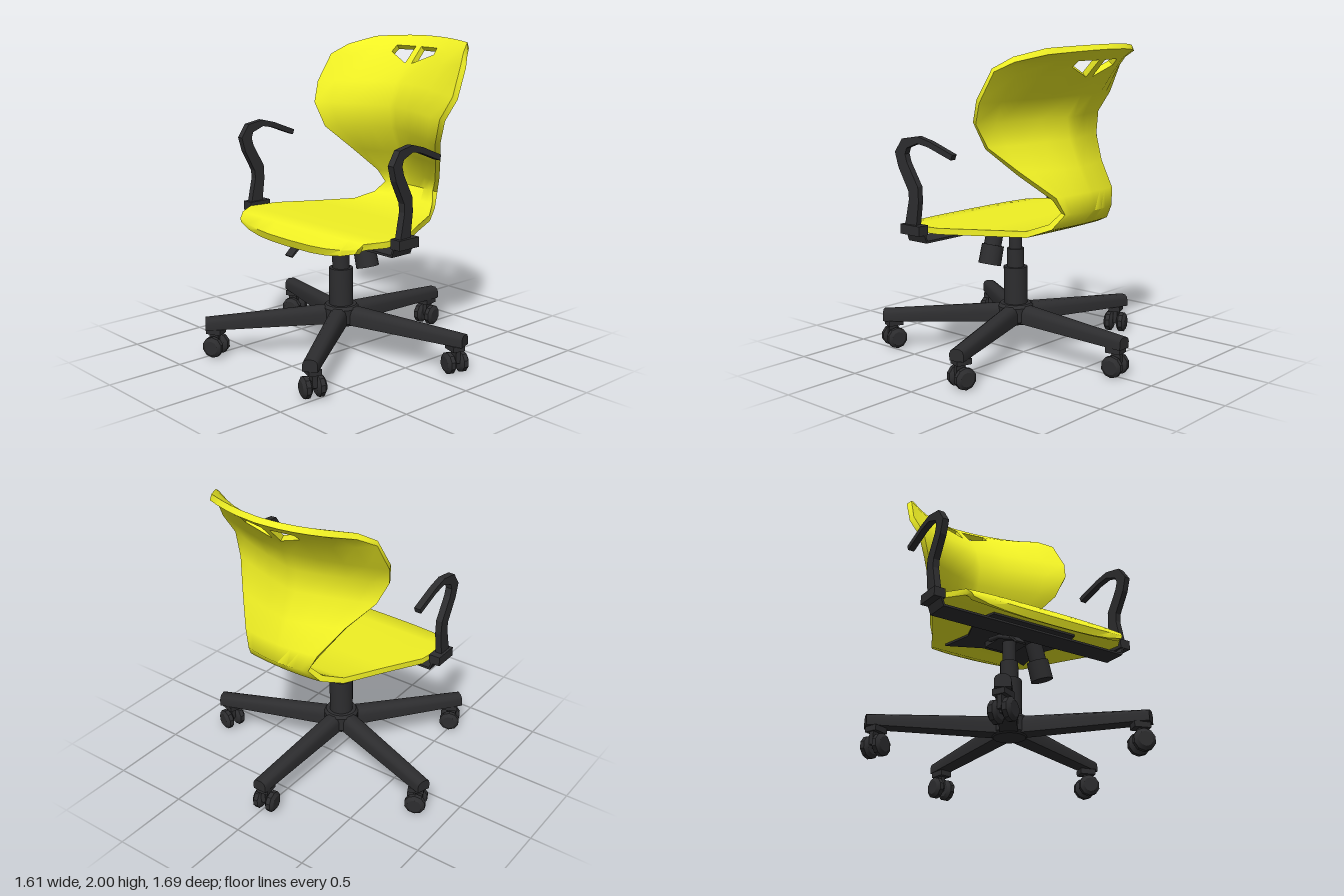
import * as THREE from 'three';
import { toCreasedNormals } from 'three/addons/utils/BufferGeometryUtils.js';

const yellow = new THREE.MeshStandardMaterial({ color: 0xf0f024, side: THREE.DoubleSide });
const dark = new THREE.MeshStandardMaterial({ color: 0x2d2d2f });
const CX = -0.077, CZ = -0.01; // axis of the column
const V3 = (x, y, z) => new THREE.Vector3(x, y, z);
const shapeOf = points => new THREE.Shape(points.map(p => new THREE.Vector2(...p)));
const extrude = (shape, depth) => new THREE.ExtrudeGeometry(shape, { depth, bevelEnabled: false });
const box = (w, h, d) => new THREE.BoxGeometry(w, h, d);

function add(parent, name, geo, x = 0, y = 0, z = 0, mat = dark) {
  const mesh = new THREE.Mesh(geo, mat);
  mesh.name = name;
  mesh.position.set(x, y, z);
  parent.add(mesh);
  return mesh;
}

// Turned part from [radius, height] pairs
function turned(profile, segments) {
  const geo = new THREE.LatheGeometry(profile.map(p => new THREE.Vector2(...p)), segments);
  return toCreasedNormals(geo, 0.6);
}

// Straight round bar between two points
function rod(parent, name, a, b, ra, rb, segments = 14) {
  const dir = b.clone().sub(a);
  const mesh = add(parent, name, new THREE.CylinderGeometry(rb, ra, dir.length(), segments));
  mesh.position.copy(a).add(b).multiplyScalar(0.5);
  mesh.quaternion.setFromUnitVectors(V3(0, 1, 0), dir.normalize());
}

// One-piece seat and back: each row is centre x, y, edge x, y, half width, bow exponent
const ROWS = [
  [-0.495, 0.782, -0.465, 0.83, 0.54, 3], [-0.51, 0.815, -0.46, 0.85, 0.55, 3],
  [-0.455, 0.876, -0.44, 0.872, 0.57, 3], [-0.33, 0.88, -0.33, 0.88, 0.64, 2],
  [-0.13, 0.88, -0.13, 0.88, 0.615, 2], [0.09, 0.88, 0.09, 0.88, 0.485, 2],
  [0.35, 0.882, 0.34, 0.882, 0.35, 2], [0.48, 0.93, 0.46, 0.93, 0.27, 2],
  [0.55, 1.01, 0.52, 1.01, 0.225, 2], [0.53, 1.11, 0.49, 1.10, 0.27, 1.8],
  [0.455, 1.25, 0.34, 1.25, 0.385, 1.5], [0.39, 1.42, 0.20, 1.40, 0.51, 1.25],
  [0.375, 1.56, 0.165, 1.55, 0.575, 1.2], [0.425, 1.70, 0.23, 1.68, 0.615, 1.4],
  [0.51, 1.815, 0.325, 1.86, 0.59, 1.8], [0.605, 1.918, 0.42, 1.92, 0.52, 1.9],
  [0.685, 1.985, 0.57, 1.965, 0.41, 1.9],
];
const COLS = [-1, -0.8, -0.58, -0.35, -0.05, 0.05, 0.35, 0.58, 0.8, 1];
const HOLE_ROW = 14, HOLE_COLS = [3, 5], HALF = 0.019;

function shellPoint(i, j) {
  const [cx, cy, ex, ey, w, bow] = ROWS[i], v = COLS[j], k = Math.abs(v) ** bow;
  const shift = 0.012 + k * (i > 9 ? 0.035 : 0.008);
  const p = V3(cx + (ex - cx) * k, cy + (ey - cy) * k, shift + v * w);
  // Taper the grip holes towards their outer ends
  if (i === HOLE_ROW && Math.abs(v) === 0.35) p.lerp(shellPoint(i + 1, j), 0.6);
  return p;
}

function shellGeometry() {
  const nr = ROWS.length - 1, nc = COLS.length - 1, pos = [];
  const at = (i, j) => shellPoint(Math.max(0, Math.min(nr, i)), Math.max(0, Math.min(nc, j)));
  const pt = (i, j, side) => {
    const du = at(i + 1, j).sub(at(i - 1, j)), dv = at(i, j + 1).sub(at(i, j - 1));
    return at(i, j).addScaledVector(dv.cross(du).normalize(), side * HALF);
  };
  const quad = (a, b, c, d) => [a, b, c, a, c, d].forEach(p => pos.push(p.x, p.y, p.z));
  const solid = (i, j) => i >= 0 && j >= 0 && i < nr && j < nc &&
    !(i === HOLE_ROW && HOLE_COLS.includes(j));
  for (let i = 0; i < nr; i++) for (let j = 0; j < nc; j++) {
    if (!solid(i, j)) continue;
    const ring = [[i, j], [i, j + 1], [i + 1, j + 1], [i + 1, j]];
    const next = [[i - 1, j], [i, j + 1], [i + 1, j], [i, j - 1]];
    const top = ring.map(r => pt(...r, 1)), low = ring.map(r => pt(...r, -1));
    quad(...top);
    quad(low[3], low[2], low[1], low[0]);
    // Rim wherever the neighbouring cell is open
    next.forEach((n, e) => {
      const f = (e + 1) % 4;
      if (!solid(...n)) quad(top[f], top[e], low[e], low[f]);
    });
  }
  const geo = new THREE.BufferGeometry();
  geo.setAttribute('position', new THREE.Float32BufferAttribute(pos, 3));
  return toCreasedNormals(geo, 0.9);
}

// Flat curved bar: centreline points [x, y, width], extruded along z
function ribbonGeometry(points, depth) {
  const left = [], right = [];
  points.forEach(([x, y, w], i) => {
    const a = points[Math.max(0, i - 1)], b = points[Math.min(points.length - 1, i + 1)];
    const n = new THREE.Vector2(a[1] - b[1], b[0] - a[0]).normalize().multiplyScalar(w / 2);
    left.push([x + n.x, y + n.y]);
    right.unshift([x - n.x, y - n.y]);
  });
  return extrude(shapeOf([...left, ...right]), depth).translate(0, 0, -depth / 2);
}

// Tapering spoke with rounded top, pointing along +x
function spokeGeometry() {
  const geo = extrude(shapeOf([[-0.05, 0], [0.05, 0], [0.05, 0.6], [0.042, 0.85], [0.022, 1],
    [-0.022, 1], [-0.042, 0.85], [-0.05, 0.6]]), 1);
  const p = geo.attributes.position;
  for (let i = 0; i < p.count; i++) {
    const t = p.getZ(i), low = 0.2 - 0.02 * t, high = 0.315 - 0.062 * t;
    p.setXYZ(i, 0.04 + 0.83 * t, low + (high - low) * p.getY(i), -p.getX(i) * (1.12 - 0.2 * t));
  }
  return toCreasedNormals(geo, 0.8);
}

function caster() {
  const g = new THREE.Group();
  g.name = 'caster';
  const wheel = turned([[0, -0.03], [0.045, -0.03], [0.068, -0.014], [0.068, 0.014], [0.045, 0.03], [0, 0.03]], 10);
  for (const s of [-1, 1]) {
    add(g, 'wheel', wheel, 0, 0.068, s * 0.044).rotation.x = Math.PI / 2;
  }
  add(g, 'axle', box(0.025, 0.025, 0.07), 0, 0.068, 0);
  add(g, 'fork', box(0.06, 0.08, 0.03), 0.01, 0.11, 0);
  add(g, 'mountingCap', box(0.1, 0.035, 0.08), 0, 0.165, 0);
  return g;
}

export function createModel() {
  const model = new THREE.Group();
  model.name = 'swivelChair';
  add(model, 'seatShell', shellGeometry(), 0, 0, 0, yellow);

  // Five-spoke base on casters
  const base = new THREE.Group();
  base.name = 'base';
  base.position.set(CX, 0, CZ);
  model.add(base);
  const yaws = [0.15, 0.7, -0.5, 0.6, -0.6];
  for (let k = 0; k < 5; k++) {
    const arm = new THREE.Group();
    arm.name = 'spokeAssembly';
    arm.rotation.y = k * Math.PI * 0.4;
    add(arm, 'spoke', spokeGeometry());
    const c = caster();
    c.position.x = 0.805;
    c.rotation.y = yaws[k];
    arm.add(c);
    base.add(arm);
  }
  add(base, 'hub', turned([[0, 0.19], [0.1, 0.19], [0.115, 0.21], [0.115, 0.3], [0.1, 0.32], [0, 0.32]], 20));
  add(base, 'gasColumn', turned([[0, 0.3], [0.077, 0.3], [0.077, 0.56], [0.056, 0.56],
    [0.056, 0.68], [0.043, 0.68], [0.043, 0.84], [0, 0.84]], 20));

  // Mechanism beneath the seat
  add(model, 'mechanismBox', box(0.24, 0.05, 0.2), -0.06, 0.838, 0);
  const plate = shapeOf([[-0.32, -0.3], [-0.17, -0.34], [0.04, -0.26], [0.25, -0.3], [0.15, -0.08],
    [0.15, 0.08], [0.25, 0.3], [0.04, 0.26], [-0.17, 0.34], [-0.32, 0.3]]);
  add(model, 'mountingPlate', extrude(plate, 0.016).rotateX(Math.PI / 2), 0, 0.864, 0.02);
  rod(model, 'tensionShaft', V3(CX, 0.85, 0.175), V3(CX, 0.73, 0.21), 0.055, 0.055);
  rod(model, 'tensionKnob', V3(CX, 0.735, 0.205), V3(CX, 0.615, 0.238), 0.07, 0.072);
  const z = -0.14;
  rod(model, 'leverArm', V3(-0.06, 0.81, z), V3(-0.16, 0.795, z), 0.016, 0.014, 8);
  rod(model, 'leverArm', V3(-0.16, 0.795, z), V3(-0.33, 0.72, z), 0.014, 0.014, 8);
  add(model, 'leverGrip', ribbonGeometry([[-0.32, 0.73, 0.016], [-0.36, 0.7, 0.014], [-0.4, 0.665, 0.012]], 0.065), 0, 0, z);

  // Armrests and the strap joining them
  const armLine = [[-0.262, 0.9, 0.09], [-0.233, 1.07, 0.075], [-0.237, 1.14, 0.08], [-0.315, 1.28, 0.075],
    [-0.335, 1.35, 0.08], [-0.3, 1.41, 0.065], [-0.2, 1.436, 0.042], [-0.11, 1.415, 0.036], [0.06, 1.35, 0.034]];
  const armGeo = ribbonGeometry(armLine, 0.042);
  for (const s of [-1, 1]) {
    const g = new THREE.Group();
    g.name = s > 0 ? 'leftArmrest' : 'rightArmrest';
    g.position.z = 0.033 + s * 0.69;
    add(g, 'armBracket', box(0.16, 0.06, 0.075), -0.245, 0.891, 0);
    // The left bar turns slightly inwards
    add(g, 'armBar', armGeo, 0, 0, s > 0 ? -0.03 : 0).rotation.y = s > 0 ? 0.1 : 0;
    add(g, 'strapEnd', box(0.155, 0.058, 0.012), -0.245, 0.838, -s * 0.025).rotation.x = s * 0.35;
    model.add(g);
  }
  add(model, 'armStrap', box(0.155, 0.014, 1.32), -0.245, 0.816, 0.033);
  return model;
}
